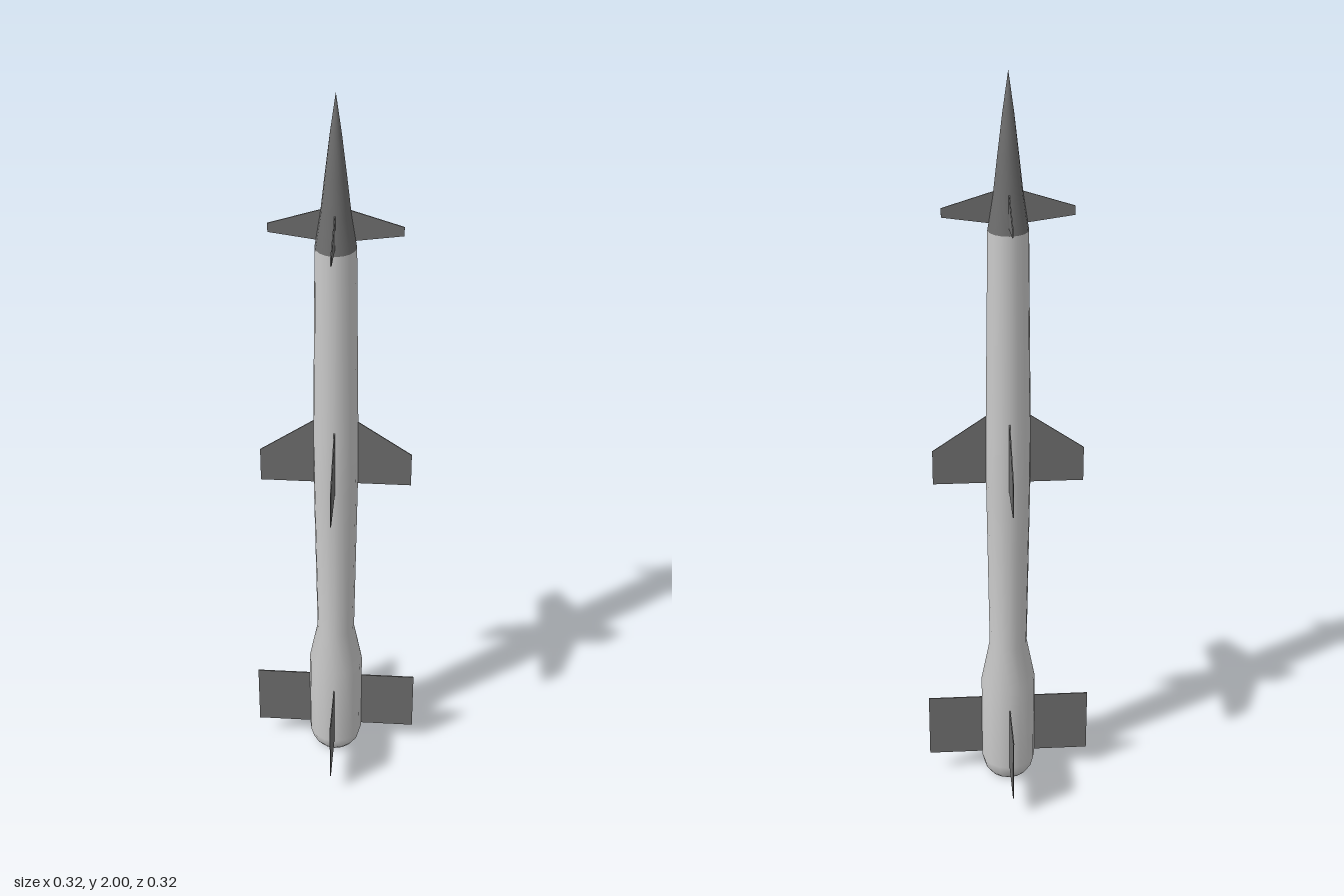
import * as THREE from 'three';

const SIDES = 16;
const lightGrey = new THREE.MeshStandardMaterial({ color: 0xcacaca });
lightGrey.name = 'lightGrey';
const darkGrey = new THREE.MeshStandardMaterial({ color: 0x6e6e6e });
darkGrey.name = 'darkGrey';

// Turned part from [radius, height] points, bottom to top
function turned(name, profile, material) {
  const points = profile.map(([r, y]) => new THREE.Vector2(r, y));
  const mesh = new THREE.Mesh(new THREE.LatheGeometry(points, SIDES), material);
  mesh.name = name;
  return mesh;
}

// Four thin fins set diagonally around the axis; outline is [radius, height]
function finSet(name, outline, thickness = 0.003) {
  const shape = new THREE.Shape(outline.map(([r, y]) => new THREE.Vector2(r, y)));
  const geometry = new THREE.ExtrudeGeometry(shape, { depth: thickness, bevelEnabled: false });
  geometry.translate(0, 0, -thickness / 2);
  const group = new THREE.Group();
  group.name = name + 's';
  for (let i = 0; i < 4; i++) {
    const fin = new THREE.Mesh(geometry, darkGrey);
    fin.name = name;
    fin.rotation.y = Math.PI / 4 + (i * Math.PI) / 2;
    group.add(fin);
  }
  return group;
}

export function createModel() {
  const model = new THREE.Group();
  model.name = 'missile';

  // Body with a wider motor section and rounded base
  model.add(turned('body', [
    [0, 0], [0.054, 0.003], [0.066, 0.02], [0.074, 0.05], [0.074, 0.31],
    [0.051, 0.43], [0.058, 0.92], [0.058, 1.08], [0.051, 1.61],
  ], lightGrey));

  // Pointed nose
  model.add(turned('nose', [
    [0.051, 1.61], [0.037, 1.7], [0.027, 1.79], [0.014, 1.9], [0, 2],
  ], darkGrey));

  // Fins: tail, middle and front
  model.add(finSet('tailFin', [[0.06, 0.06], [0.222, 0.06], [0.222, 0.245], [0.06, 0.245]]));
  model.add(finSet('middleFin', [[0.045, 0.92], [0.197, 0.92], [0.197, 1.015], [0.045, 1.12]]));
  model.add(finSet('frontFin', [[0.035, 1.627], [0.163, 1.645], [0.163, 1.668], [0.035, 1.708]]));

  return model;
}
